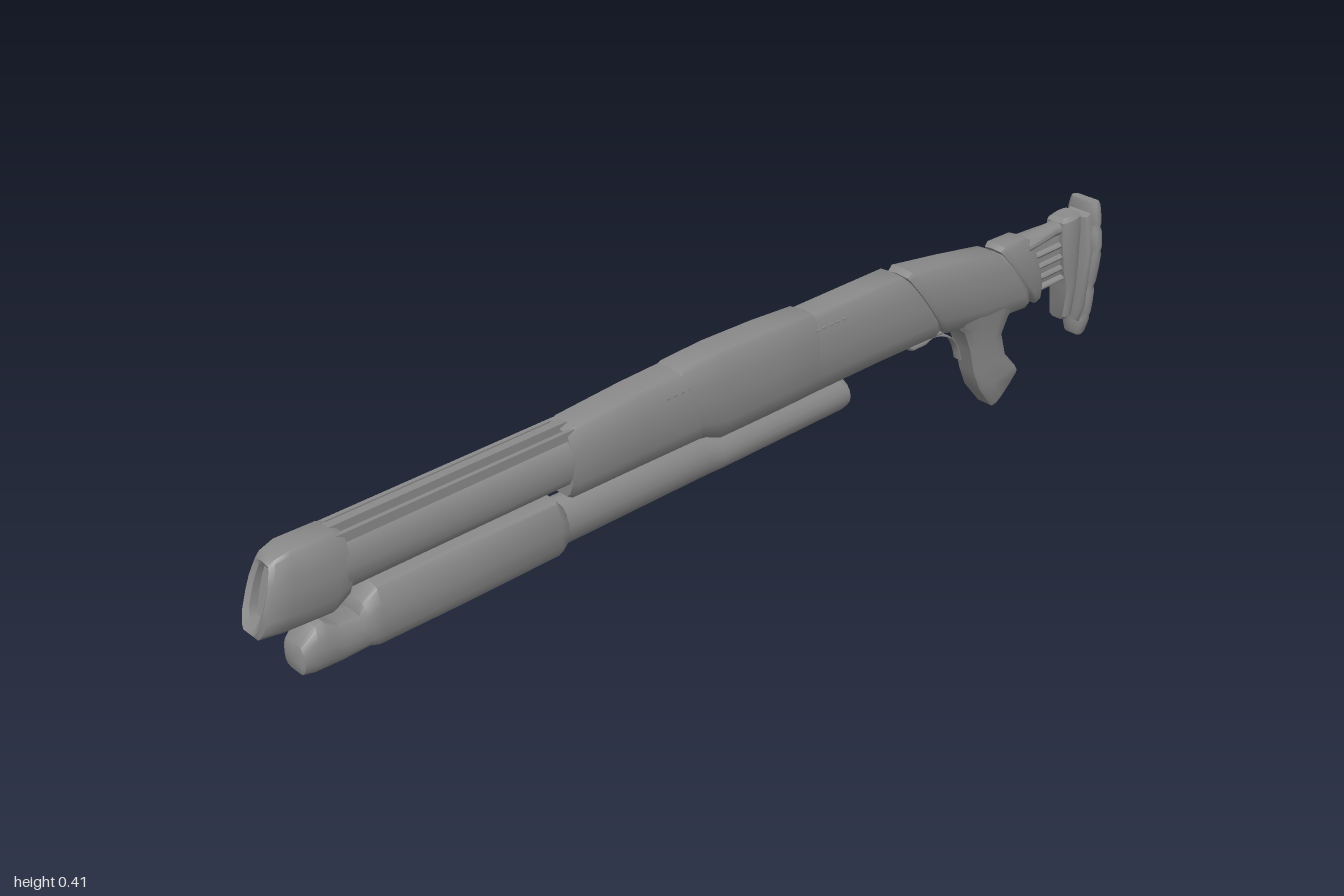
import * as THREE from 'three';
import { toCreasedNormals } from 'three/addons/utils/BufferGeometryUtils.js';

// Half outlines: [fraction from edge A to edge B, fraction of half width]
const BODY = [[0, 0], [0.02, 0.62], [0.06, 0.74], [0.28, 0.95], [0.5, 1], [0.76, 0.95], [0.94, 0.72], [1, 0.5], [1, 0]];
const ROUND = [[0, 0], [0.04, 0.4], [0.15, 0.72], [0.32, 0.94], [0.5, 1], [0.68, 0.94], [0.85, 0.72], [0.96, 0.4], [1, 0]];
const GRIP = [[0, 0], [0, 0.7], [0.1, 0.92], [0.3, 1], [0.7, 1], [0.93, 0.92], [1, 0.75], [1, 0]];
const PAD = [[0, 0], [0, 0.75], [0.2, 0.95], [0.5, 1], [0.8, 0.93], [1, 0.75], [1, 0.07], [0.95, 0]];
const PLATE = [[0, 0], [0, 0.75], [0.2, 0.95], [0.5, 1], [0.8, 0.93], [1, 0.75], [1, 0]];

export function createModel() {
  const model = new THREE.Group();
  const material = new THREE.MeshStandardMaterial({ color: 0x8a8a8a });

  function add(name, geometry, x = 0, y = 0, z = 0) {
    const mesh = new THREE.Mesh(geometry, material);
    mesh.name = name;
    mesh.position.set(x, y, z);
    model.add(mesh);
    return mesh;
  }

  // Skin rings between edge A (ax, ay) and edge B (bx, by), half width w
  function loft(name, sections, profile = BODY, crease = 0.6) {
    const outline = [...profile, ...profile.slice(1, -1).reverse().map(([t, w]) => [t, -w])];
    const n = outline.length;
    const rings = sections.map(([ax, ay, bx, by, w]) => outline.map(([t, k]) =>
      new THREE.Vector3(ax + (bx - ax) * t, ay + (by - ay) * t, w * k)));
    const tris = [];
    for (let i = 0; i < rings.length - 1; i++) {
      for (let j = 0; j < n; j++) {
        const k = (j + 1) % n;
        const [a, b, c, d] = [rings[i][j], rings[i][k], rings[i + 1][k], rings[i + 1][j]];
        tris.push([a, b, c], [a, c, d]);
      }
    }
    const cap = (ring, flip) => {
      const mid = ring[0].clone().add(ring[profile.length - 1]).multiplyScalar(0.5);
      ring.forEach((p, j) => {
        const q = ring[(j + 1) % n];
        tris.push(flip ? [mid, q, p] : [mid, p, q]);
      });
    };
    cap(rings[0], true);
    cap(rings[rings.length - 1], false);
    // Turn all faces outward, judged by the enclosed volume
    const volume = tris.reduce((s, [a, b, c]) => s + a.dot(b.clone().cross(c)), 0);
    const points = tris.flatMap(([a, b, c]) => (volume < 0 ? [a, c, b] : [a, b, c]));
    return add(name, toCreasedNormals(new THREE.BufferGeometry().setFromPoints(points), crease));
  }

  function box(name, x0, x1, y0, y1, depth, z = 0) {
    return add(name, new THREE.BoxGeometry(x1 - x0, y1 - y0, depth), (x0 + x1) / 2, (y0 + y1) / 2, z);
  }

  // Muzzle with a shallow recessed opening
  loft('muzzle', [
    [-0.945, 0.372, -0.972, 0.285, 0.018], [-0.957, 0.372, -0.988, 0.285, 0.018],
    [-0.96, 0.38, -0.998, 0.272, 0.026], [-0.95, 0.389, -0.992, 0.263, 0.031],
    [-0.925, 0.396, -0.95, 0.258, 0.036], [-0.85, 0.393, -0.865, 0.254, 0.039],
    [-0.835, 0.386, -0.835, 0.272, 0.037],
  ]);

  // Barrel shroud and the ribs in its top channel
  loft('barrelShroud', [[-0.86, 0.374, -0.86, 0.284, 0.038], [-0.38, 0.374, -0.38, 0.284, 0.039]]);
  box('topRib', -0.85, -0.39, 0.365, 0.392, 0.016);
  for (const side of [-1, 1]) box('sideRib', -0.85, -0.39, 0.365, 0.386, 0.008, side * 0.024);

  // Receiver: front, raised middle and rear
  loft('receiverFront', [
    [-0.405, 0.385, -0.405, 0.262, 0.038], [-0.385, 0.392, -0.395, 0.256, 0.041],
    [-0.25, 0.401, -0.25, 0.255, 0.042], [-0.14, 0.405, -0.09, 0.253, 0.042],
  ]);
  loft('receiverMiddle', [
    [-0.165, 0.402, -0.12, 0.255, 0.041], [-0.155, 0.407, -0.095, 0.251, 0.0435],
    [-0.06, 0.411, -0.06, 0.237, 0.0445], [0.06, 0.408, 0.06, 0.236, 0.0445],
    [0.158, 0.402, 0.158, 0.236, 0.0435], [0.17, 0.396, 0.17, 0.237, 0.041],
  ]);
  loft('receiverRear', [
    [0.15, 0.398, 0.15, 0.236, 0.042], [0.3, 0.398, 0.36, 0.235, 0.042],
    [0.395, 0.398, 0.508, 0.231, 0.042], [0.406, 0.391, 0.52, 0.236, 0.038],
  ]);
  loft('receiverCore', [[0.38, 0.385, 0.49, 0.24, 0.035], [0.7, 0.342, 0.8, 0.21, 0.031]]);

  // Low studs along the upper sides
  for (const start of [-0.2, 0.16]) {
    for (let i = 0; i < 5; i++) {
      for (const side of [-1, 1]) box('stud', start + i * 0.017, start + i * 0.017 + 0.009, 0.368, 0.372, 0.006, side * 0.0352);
    }
  }

  // Rear housing between the two slanted seams
  loft('rearHousing', [
    [0.413, 0.388, 0.528, 0.232, 0.038], [0.425, 0.396, 0.54, 0.227, 0.042],
    [0.55, 0.377, 0.66, 0.208, 0.041], [0.67, 0.357, 0.785, 0.197, 0.037],
    [0.68, 0.35, 0.797, 0.202, 0.033],
  ]);

  // Hollow pistol grip
  loft('grip', [
    [0.56, 0.235, 0.76, 0.235, 0.034], [0.595, 0.208, 0.728, 0.205, 0.031],
    [0.618, 0.16, 0.71, 0.168, 0.028], [0.634, 0.105, 0.727, 0.115, 0.027],
    [0.655, 0.06, 0.76, 0.078, 0.028], [0.697, 0.008, 0.773, 0.063, 0.023],
    [0.704, 0.003, 0.768, 0.056, 0.021], [0.71, 0.009, 0.762, 0.056, 0.0175],
    [0.685, 0.035, 0.74, 0.085, 0.0175],
  ], GRIP);

  // Trigger housing and thin curved guard
  loft('triggerHousing', [
    [0.43, 0.24, 0.43, 0.23, 0.02], [0.445, 0.24, 0.445, 0.22, 0.024],
    [0.48, 0.24, 0.48, 0.22, 0.024], [0.5, 0.24, 0.5, 0.227, 0.022], [0.57, 0.235, 0.57, 0.224, 0.02],
  ]);
  const guardPath = new THREE.CatmullRomCurve3([[0.48, 0.223], [0.535, 0.218], [0.575, 0.198], [0.594, 0.172], [0.604, 0.142]]
    .map(([x, y]) => new THREE.Vector3(x, y, 0)));
  const guard = add('triggerGuard', new THREE.TubeGeometry(guardPath, 24, 0.0025, 8));
  guard.scale.z = 4;

  // Magazine tube sleeve, sliding fore-end and front cap
  loft('tubeSleeve', [
    [-0.43, 0.256, -0.43, 0.165, 0.034], [-0.1, 0.254, -0.1, 0.165, 0.034],
    [-0.06, 0.238, -0.06, 0.165, 0.034], [0.245, 0.236, 0.245, 0.165, 0.034],
    [0.262, 0.229, 0.262, 0.168, 0.031], [0.27, 0.218, 0.27, 0.176, 0.022],
  ], ROUND);
  loft('foreEnd', [
    [-0.822, 0.235, -0.822, 0.178, 0.032], [-0.815, 0.25, -0.805, 0.163, 0.037],
    [-0.79, 0.272, -0.79, 0.159, 0.041], [-0.62, 0.274, -0.62, 0.158, 0.042],
    [-0.435, 0.272, -0.435, 0.159, 0.041], [-0.418, 0.25, -0.424, 0.163, 0.037],
    [-0.41, 0.232, -0.41, 0.176, 0.032],
  ]);
  loft('frontCap', [
    [-0.931, 0.208, -0.931, 0.174, 0.021], [-0.927, 0.222, -0.927, 0.167, 0.028],
    [-0.9, 0.248, -0.91, 0.164, 0.034], [-0.885, 0.249, -0.885, 0.164, 0.036],
    [-0.86, 0.232, -0.86, 0.164, 0.036], [-0.81, 0.23, -0.81, 0.165, 0.035],
  ]);

  // Stock collar and the strutted neck
  loft('stockCollar', [
    [0.69, 0.35, 0.807, 0.202, 0.032], [0.7, 0.358, 0.815, 0.196, 0.036],
    [0.765, 0.357, 0.828, 0.198, 0.034], [0.787, 0.345, 0.835, 0.208, 0.028],
  ]);
  loft('neckTop', [
    [0.77, 0.347, 0.77, 0.318, 0.032], [0.82, 0.347, 0.82, 0.318, 0.026],
    [0.87, 0.347, 0.87, 0.318, 0.018], [0.925, 0.349, 0.925, 0.318, 0.024],
  ], ROUND);
  loft('neckCore', [[0.77, 0.335, 0.81, 0.215, 0.014], [0.9, 0.335, 0.92, 0.215, 0.014]]);
  for (const [y, x0, r] of [[0.298, 0.775, 0.01], [0.272, 0.785, 0.01], [0.246, 0.795, 0.01], [0.222, 0.81, 0.009]]) {
    loft('neckStrut', [[x0, y + r, x0, y - r, 0.02], [0.925, y + r, 0.925, y - r, 0.02]], ROUND);
  }

  // Stock end plate, link and cushioned butt pad
  loft('stockEndPlate', [
    [0.918, 0.122, 0.938, 0.122, 0.014], [0.914, 0.13, 0.943, 0.13, 0.022],
    [0.914, 0.2, 0.943, 0.2, 0.029], [0.898, 0.24, 0.944, 0.24, 0.03],
    [0.886, 0.31, 0.943, 0.31, 0.03], [0.886, 0.347, 0.943, 0.35, 0.026],
    [0.895, 0.355, 0.938, 0.357, 0.018],
  ], PLATE);
  loft('buttLink', [[0.93, 0.31, 0.93, 0.15, 0.014], [0.985, 0.32, 0.985, 0.13, 0.014]]);
  loft('buttBacking', [
    [0.955, 0.11, 0.972, 0.1, 0.02], [0.952, 0.14, 0.975, 0.14, 0.03],
    [0.952, 0.265, 0.975, 0.265, 0.038], [0.955, 0.34, 0.975, 0.35, 0.026],
  ], GRIP);

  const padLevels = [[0.068, 0.02], [0.114, 0.034], [0.182, 0.038], [0.265, 0.048], [0.316, 0.042], [0.37, 0.033]];
  const padSections = [];
  for (let i = 0; i < padLevels.length - 1; i++) {
    const [[y0, w0], [y1, w1]] = [padLevels[i], padLevels[i + 1]];
    for (const [t, dent] of [[0.02, 0.005], [0.14, 0.001], [0.5, 0], [0.86, 0.001], [0.98, 0.005]]) {
      const y = y0 + (y1 - y0) * t;
      const lean = 0.008 * Math.abs(y - 0.22) / 0.15;
      padSections.push([0.966 + lean * 0.4 + dent / 2, y, 1 - lean * 0.5 - dent, y, w0 + (w1 - w0) * t - dent * 0.2]);
    }
  }
  loft('buttPad', padSections, PAD, 0.9);

  return model;
}
